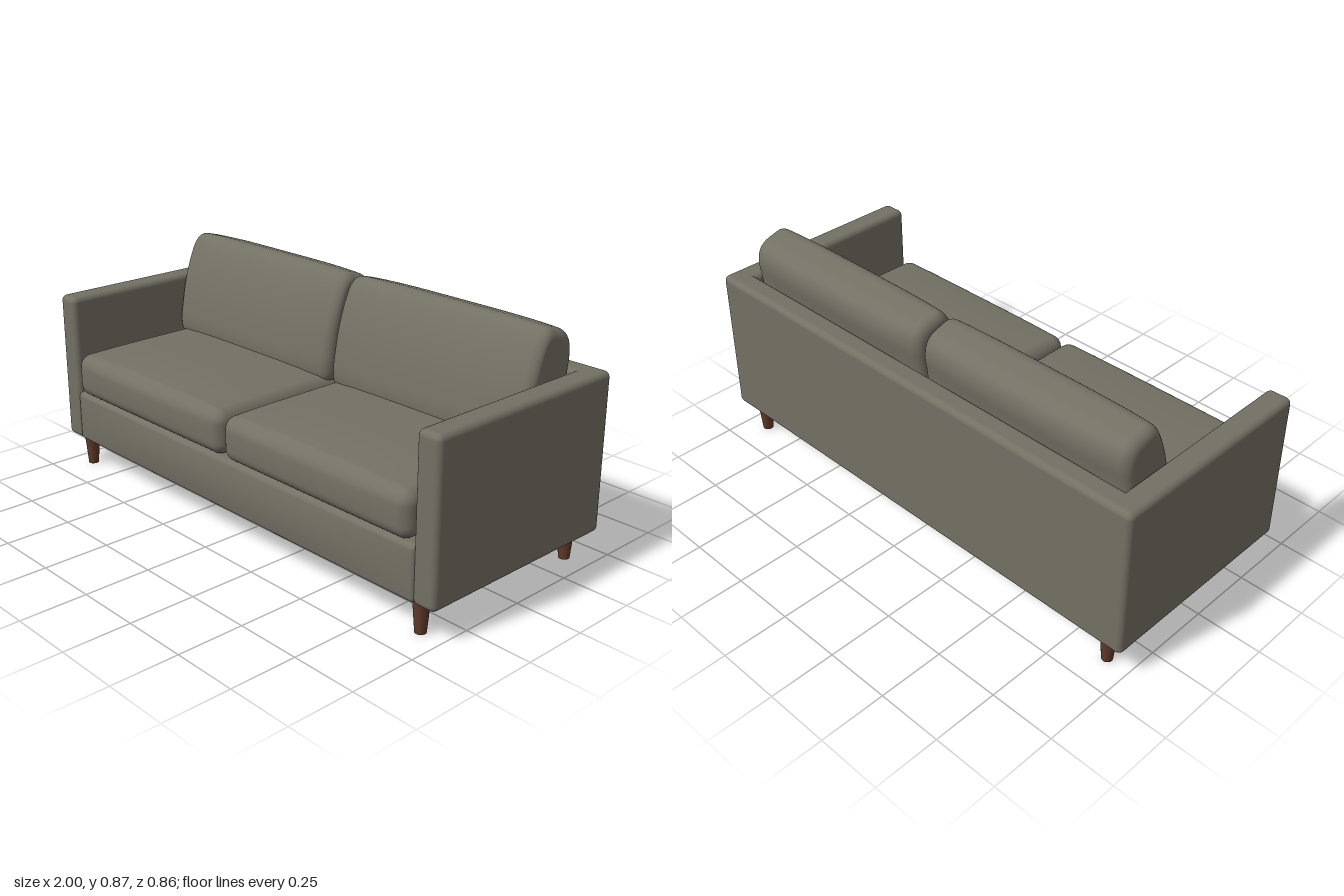
import * as THREE from 'three';
import { mergeVertices } from 'three/addons/utils/BufferGeometryUtils.js';

// Box with round edges; crown swells the top, nose swells the front
function softBox(w, h, d, r, crown = 0, nose = 0) {
  const box = new THREE.BoxGeometry(2, 2, 2, 16, 16, 16);
  box.deleteAttribute('uv');
  box.deleteAttribute('normal');
  const geo = mergeVertices(box, 1e-4);
  const pos = geo.attributes.position;
  const half = new THREE.Vector3(w / 2, h / 2, d / 2);
  const inner = half.clone().subScalar(r);
  const p = new THREE.Vector3(), c = new THREE.Vector3();
  for (let i = 0; i < pos.count; i++) {
    p.fromBufferAttribute(pos, i);
    // crowd the grid lines into the rounded edges
    for (const k of ['x', 'y', 'z']) {
      const a = Math.abs(p[k]), s = Math.sign(p[k]);
      p[k] = a > 0.5 ? s * (inner[k] + r * Math.tan((a - 0.5) * Math.PI / 2)) : 2 * p[k] * inner[k];
    }
    c.copy(p).clamp(inner.clone().negate(), inner);
    p.sub(c).setLength(r).add(c);
    const q = p.clone().divide(half);
    p.y += crown * Math.max(q.y, 0) * (1 - q.x ** 4) * (1 - q.z ** 4);
    p.z += nose * Math.max(q.z, 0) * (1 - q.x ** 4) * (1 - q.y ** 2);
    pos.setXYZ(i, p.x, p.y, p.z);
  }
  geo.computeVertexNormals();
  return geo;
}

// Leaning pillow: a side profile swept along x with rounded ends
function backCushionGeometry(width) {
  const profile = [
    [-0.315, 0.49], [-0.335, 0.6], [-0.347, 0.7], [-0.356, 0.77], [-0.345, 0.818],
    [-0.315, 0.846], [-0.265, 0.862], [-0.22, 0.87], [-0.19, 0.855], [-0.155, 0.8],
    [-0.115, 0.7], [-0.09, 0.6], [-0.077, 0.51], [-0.09, 0.465], [-0.2, 0.455], [-0.29, 0.46],
  ].map(([z, y]) => new THREE.Vector3(0, y, z));
  const N = 64;
  const ring = new THREE.CatmullRomCurve3(profile, true).getPoints(N).slice(0, N);
  const cy = 0.66, cz = -0.225, r = 0.035, half = width / 2;

  // stations: [x, edge inset]
  const end = [[half, 1], [half, 0.09]];
  for (let i = 0; i <= 6; i++) {
    const a = i / 6 * Math.PI / 2;
    end.push([half - r + r * Math.cos(a), r * (1 - Math.sin(a))]);
  }
  for (let i = 1; i <= 8; i++) end.push([(half - r) * (1 - i / 8), 0]);
  const stations = [...end.map(([x, s]) => [-x, s]), ...end.slice(0, -1).reverse()];

  const verts = [], index = [];
  stations.forEach(([x, inset], i) => {
    const u = (x / half) ** 4;
    const sy = Math.max(0, 1 - inset / 0.2) * (1 - 0.03 * u);
    const sz = Math.max(0, 1 - inset / 0.13) * (1 - 0.14 * u);
    ring.forEach((p, j) => {
      verts.push(x, cy + (p.y - cy) * sy, cz + (p.z - cz) * sz);
      if (i === stations.length - 1) return;
      const a = i * N + j, b = i * N + (j + 1) % N;
      index.push(a, b, a + N, b, b + N, a + N);
    });
  });
  const geo = new THREE.BufferGeometry();
  geo.setAttribute('position', new THREE.Float32BufferAttribute(verts, 3));
  geo.setIndex(index);
  const welded = mergeVertices(geo, 1e-5);
  welded.computeVertexNormals();
  return welded;
}

export function createModel() {
  const sofa = new THREE.Group();
  sofa.name = 'sofa';
  const fabric = new THREE.MeshStandardMaterial({ name: 'greyOliveFabric', color: 0x737064 });
  const wood = new THREE.MeshStandardMaterial({ name: 'brownWood', color: 0x5f3a2a });

  const add = (name, geo, mat, x, y, z) => {
    const mesh = new THREE.Mesh(geo, mat);
    mesh.name = name;
    mesh.position.set(x, y, z);
    sofa.add(mesh);
  };

  // Frame
  add('backPanel', softBox(2, 0.585, 0.09, 0.022), fabric, 0, 0.4075, -0.387);
  add('base', softBox(1.83, 0.2, 0.79, 0.018, 0, 0.012), fabric, 0, 0.216, 0.016);

  const arm = softBox(0.095, 0.585, 0.838, 0.022);
  const seat = softBox(0.887, 0.165, 0.74, 0.045, 0.022, 0.008);
  const backCushion = backCushionGeometry(0.9);
  // Tapered legs
  const leg = new THREE.CylinderGeometry(0.03, 0.02, 0.125, 20);

  for (const [side, s] of [['left', 1], ['right', -1]]) {
    add(side + 'Arm', arm, fabric, s * 0.9525, 0.4075, -0.009);
    add(side + 'SeatCushion', seat, fabric, s * 0.448, 0.397, 0.052);
    add(side + 'BackCushion', backCushion, fabric, s * 0.457, 0, 0);
    add(side + 'FrontLeg', leg, wood, s * 0.907, 0.0625, 0.362);
    add(side + 'BackLeg', leg, wood, s * 0.907, 0.0625, -0.373);
  }
  return sofa;
}
